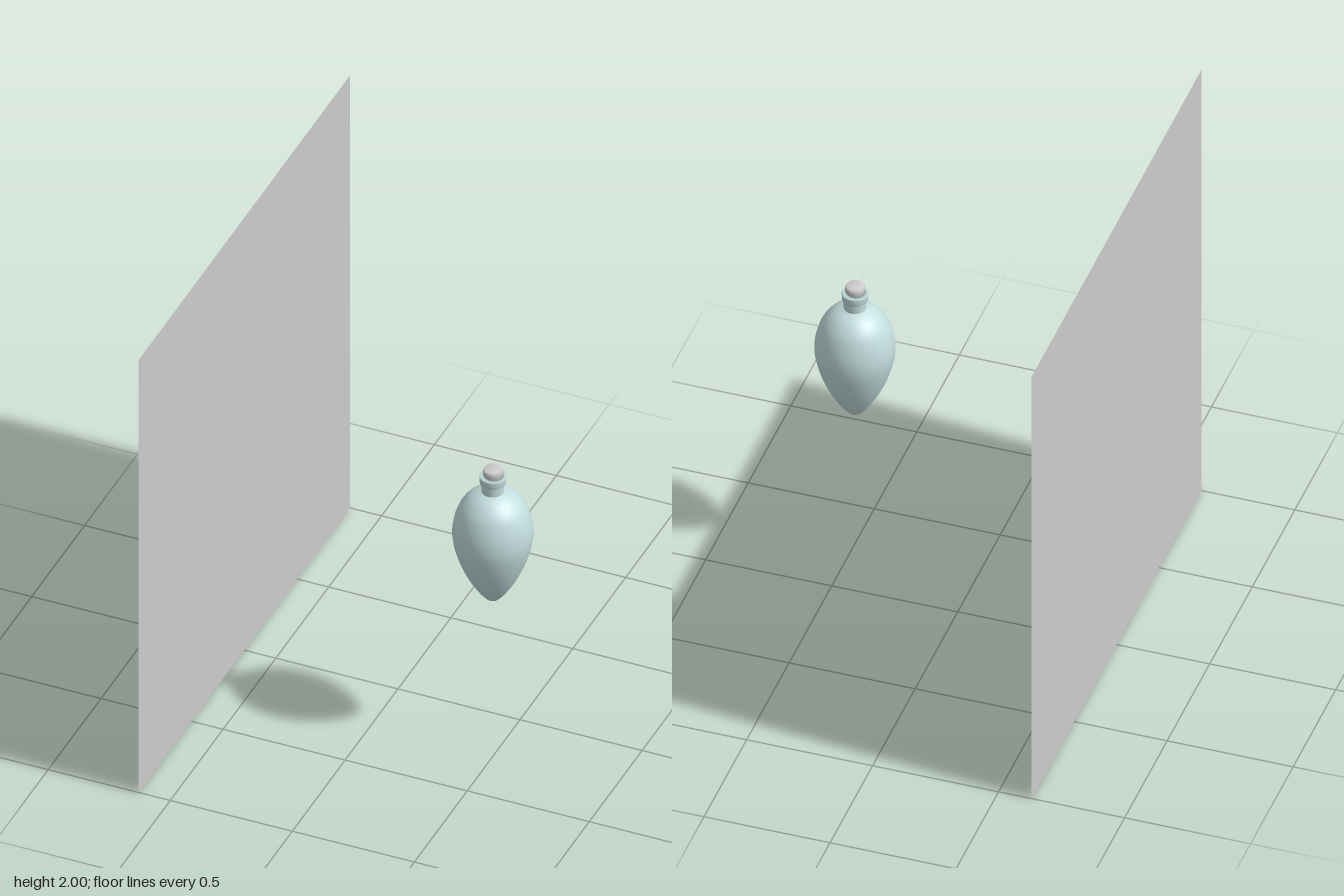
import * as THREE from 'three';

const material = (color, side = THREE.FrontSide) =>
  new THREE.MeshStandardMaterial({ color, side });
const points = (list) => list.map(([r, y]) => new THREE.Vector2(r, y));

function addMesh(parent, name, geometry, mat) {
  const mesh = new THREE.Mesh(geometry, mat);
  mesh.name = name;
  parent.add(mesh);
  return mesh;
}

export function createModel() {
  const model = new THREE.Group();
  model.name = 'bottleAndPanel';

  // Upright square panel facing sideways
  const panel = addMesh(model, 'panel', new THREE.PlaneGeometry(2, 2), material(0xcccccc, THREE.DoubleSide));
  panel.rotation.y = Math.PI / 2;
  panel.position.set(-0.63, 1, 0);

  const bottle = new THREE.Group();
  bottle.name = 'bottle';
  bottle.position.set(0.475, 0, 0.2);
  model.add(bottle);
  const glass = material(0xc3dddd, THREE.DoubleSide);

  // Teardrop body, tapering to a small flat foot
  const curve = new THREE.SplineCurve(points([
    [0.024, 0.69], [0.052, 0.723], [0.09, 0.785], [0.122, 0.855], [0.145, 0.93],
    [0.153, 0.99], [0.147, 1.05], [0.127, 1.11], [0.1, 1.148], [0.072, 1.17], [0.043, 1.183],
  ]));
  const body = [new THREE.Vector2(0, 0.69), new THREE.Vector2(0.024, 0.69), ...curve.getPoints(32)];
  addMesh(bottle, 'body', new THREE.LatheGeometry(body, 32), glass);

  // Neck, then the lip ring with a flat top and bore
  addMesh(bottle, 'neck', new THREE.CylinderGeometry(0.043, 0.043, 0.05, 24, 1, true), glass).position.y = 1.2;
  const lip = [[0.043, 1.218], [0.049, 1.222], [0.051, 1.25], [0.048, 1.254], [0.034, 1.254], [0.034, 1.22]];
  addMesh(bottle, 'lip', new THREE.LatheGeometry(points(lip), 24), glass);

  // Stopper with bevelled shoulders
  const stopper = [[0, 1.22], [0.032, 1.22], [0.032, 1.25], [0.038, 1.26], [0.038, 1.277], [0.033, 1.288], [0, 1.288]];
  addMesh(bottle, 'stopper', new THREE.LatheGeometry(points(stopper), 12), material(0xcccccc));

  return model;
}
